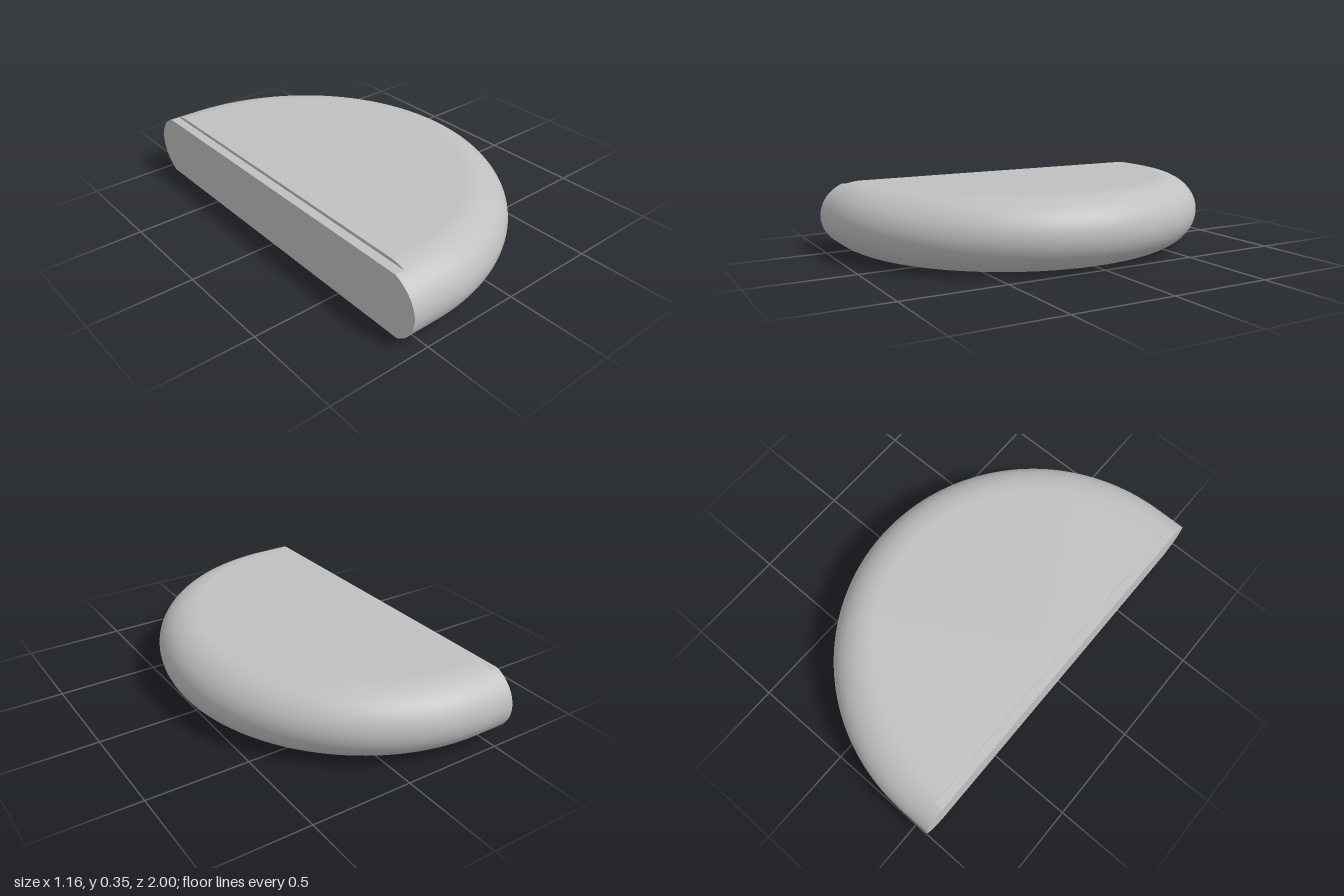
import * as THREE from 'three';
import { toCreasedNormals } from 'three/addons/utils/BufferGeometryUtils.js';

const HEIGHT = 0.348;
const MID = HEIGHT / 2;
const FLAT = 0.8;       // radius of the flat top and bottom
const BULGE = 0.2;      // how far the rounded rim reaches beyond it
const CENTRE_X = -0.42; // centre of the half disc
const STEP_X = -0.535;  // where the recessed lip begins
const BACK_X = -0.58;   // straight cut face

// Elliptical rim profile, bottom to top, limited to heights lo..hi
function rim(lo = 0, hi = HEIGHT, steps = 48) {
  const a = Math.asin((lo - MID) / MID);
  const b = Math.asin((hi - MID) / MID);
  return Array.from({ length: steps + 1 }, (_, i) => {
    const t = a + ((b - a) * i) / steps;
    return new THREE.Vector2(FLAT + BULGE * Math.cos(t), MID + MID * Math.sin(t));
  });
}

// Straight bar with rounded ends, running along x from x0 to x1
function bar(profile, x0, x1) {
  const mirrored = profile.map((p) => new THREE.Vector2(-p.x, p.y)).reverse();
  const shape = new THREE.Shape([...profile, ...mirrored]);
  const geometry = new THREE.ExtrudeGeometry(shape, { depth: x1 - x0, bevelEnabled: false });
  geometry.rotateY(Math.PI / 2).translate(x0, 0, 0);
  return toCreasedNormals(geometry, 0.2);
}

export function createModel() {
  const group = new THREE.Group();
  group.name = 'halfDisc';
  const grey = new THREE.MeshStandardMaterial({ color: 0xc0c0c0 });
  grey.name = 'light grey';

  const add = (name, geometry) => {
    const mesh = new THREE.Mesh(geometry, grey);
    mesh.name = name;
    group.add(mesh);
  };

  // Rounded half disc
  const profile = [
    new THREE.Vector2(0, 0),
    new THREE.Vector2(FLAT - 0.01, 0),
    ...rim(),
    new THREE.Vector2(FLAT - 0.01, HEIGHT),
    new THREE.Vector2(0, HEIGHT),
  ];
  add('roundedBody', new THREE.LatheGeometry(profile, 96, 0, Math.PI).translate(CENTRE_X, 0, 0));

  // Straight continuation behind the half disc
  add('straightBody', bar(rim(), STEP_X, CENTRE_X));

  // Slightly thinner lip ending in the flat cut face
  add('recessedLip', bar(rim(0.024, 0.332), BACK_X, STEP_X));

  return group;
}
